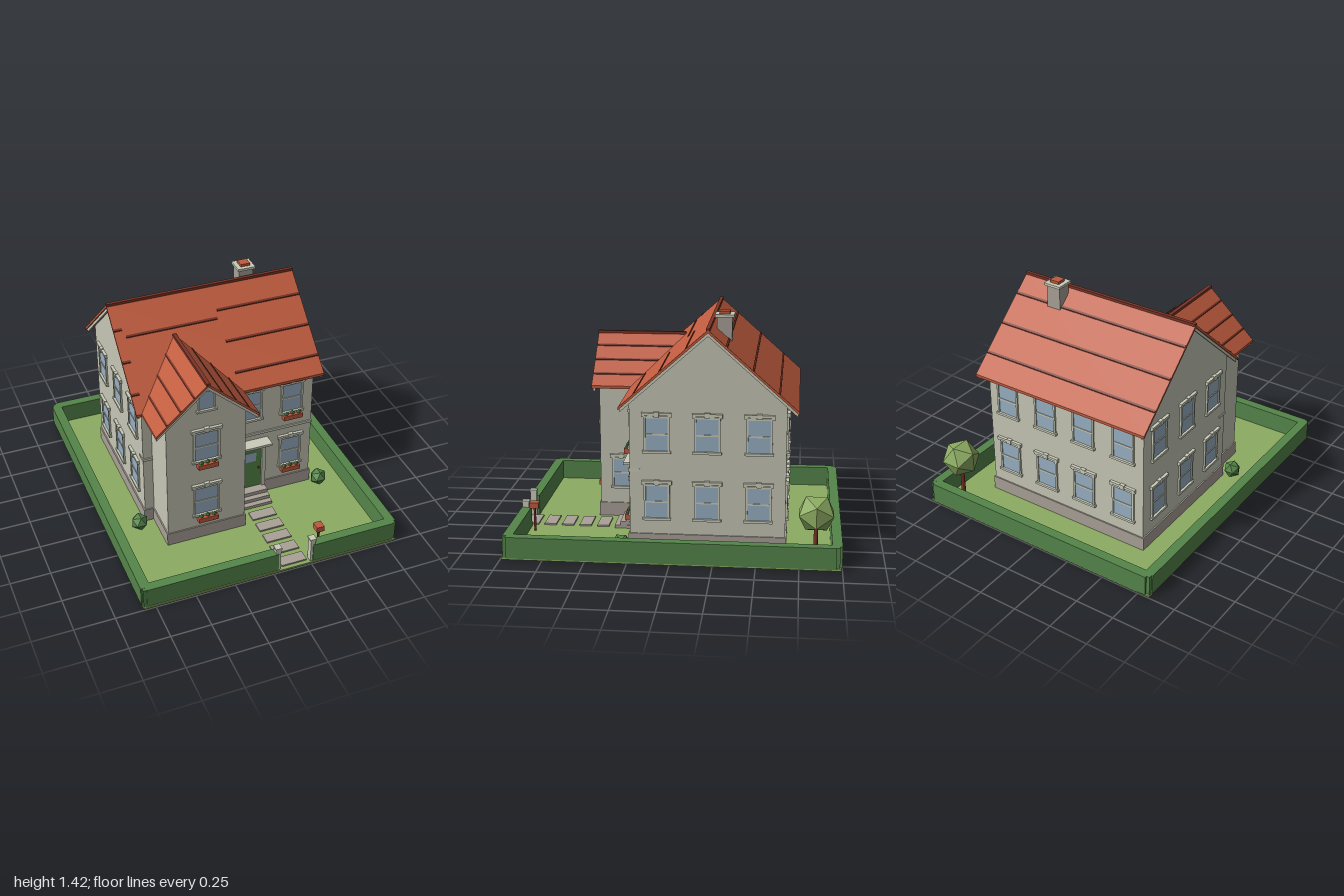
import * as THREE from 'three';

const mat = (name, color) => {
  const m = new THREE.MeshStandardMaterial({ color });
  m.name = name;
  return m;
};

export function createModel() {
  const wall = mat('wall', 0xc6c7b5), trim = mat('trim', 0xcbcdba), glass = mat('glass', 0x98b0c4);
  const roof = mat('roofTile', 0xbf5b3e), dark = mat('darkTile', 0x7a3426), stone = mat('stone', 0xaaa198);
  const lawn = mat('lawn', 0x8cab62), hedge = mat('hedge', 0x55854a), doorGreen = mat('doorGreen', 0x568647);
  const model = new THREE.Group();
  model.name = 'house';

  const add = (parent, name, geo, m) => {
    const mesh = new THREE.Mesh(geo, m);
    mesh.name = name;
    parent.add(mesh);
    return mesh;
  };
  // box given by its min and max on each axis
  const box = (name, m, x0, x1, y0, y1, z0, z1, parent = model) => {
    const mesh = add(parent, name, new THREE.BoxGeometry(x1 - x0, y1 - y0, z1 - z0), m);
    mesh.position.set((x0 + x1) / 2, (y0 + y1) / 2, (z0 + z1) / 2);
    return mesh;
  };
  const ball = (name, m, r, x, y, z, parent = model) => {
    const mesh = add(parent, name, new THREE.IcosahedronGeometry(r, 0), m);
    m.flatShading = true;
    mesh.position.set(x, y, z);
    mesh.rotation.y = Math.PI / 2;
    return mesh;
  };
  const polygon = (pts) => new THREE.Shape(pts.map(([a, b]) => new THREE.Vector2(a, b)));
  // plan outline (x, z) lifted onto a sloping plane, with thickness below
  const slab = (name, m, pts, height, thick, lift = 0) => {
    const geo = new THREE.ExtrudeGeometry(polygon(pts), { depth: thick, bevelEnabled: false });
    geo.rotateX(Math.PI / 2);
    const p = geo.attributes.position;
    for (let i = 0; i < p.count; i++) p.setY(i, p.getY(i) + height(p.getX(i), p.getZ(i)) + lift);
    geo.computeVertexNormals();
    return add(model, name, geo, m);
  };
  const rect = (x0, x1, z0, z1) => [[x0, z0], [x1, z0], [x1, z1], [x0, z1]];

  // garden
  box('lawn', lawn, -0.825, 0.825, 0, 0.012, -0.995, 0.995);
  for (const s of [-1, 1]) {
    box('sideHedge', hedge, s * 0.8 - 0.03, s * 0.8 + 0.03, 0.01, 0.14, -0.965, 0.965);
    for (const t of [-1, 1])
      box('hedgeCorner', hedge, s * 0.795 - 0.026, s * 0.795 + 0.026, 0.01, 0.139, t * 0.96 - 0.026, t * 0.96 + 0.026);
    ball('bush', hedge, 0.056, s * 0.618, 0.055, 0.31);
  }
  box('backHedge', hedge, -0.8, 0.8, 0.01, 0.14, -1, -0.94);
  box('frontHedgeRight', hedge, -0.8, 0.035, 0.01, 0.14, 0.93, 0.99);
  box('frontHedgeLeft', hedge, 0.262, 0.8, 0.01, 0.14, 0.93, 0.99);
  for (const x of [0.035, 0.262]) {
    box('gatePost', trim, x - 0.015, x + 0.015, 0.01, 0.172, 0.945, 0.985);
    box('gatePostCap', trim, x - 0.02, x + 0.02, 0.17, 0.182, 0.942, 0.988);
  }
  for (let i = 0; i < 5; i++)
    box('pathSlab', stone, 0.066, 0.23, 0.01, 0.022, 0.445 + i * 0.1125, 0.52 + i * 0.1125);
  box('mailboxPost', dark, 0.334, 0.346, 0.01, 0.17, 0.887, 0.899);
  box('mailbox', roof, 0.315, 0.365, 0.163, 0.2, 0.865, 0.92);
  const trunk = add(model, 'treeTrunk', new THREE.CylinderGeometry(0.012, 0.014, 0.2, 8), dark);
  trunk.position.set(0.685, 0.11, -0.845);
  ball('treeCrown', lawn, 0.119, 0.685, 0.298, -0.845);

  // walls: main block with gables to the sides, wing with a gable to the front
  const mainH = (x, z) => 1.35 - 0.885 * Math.abs(z + 0.203);
  const wingX = -0.2525;
  const wingH = (x) => 1.175 - 0.885 * Math.abs(x - wingX);
  const mainGeo = new THREE.ExtrudeGeometry(polygon([[0.665, 0.05], [0.665, mainH(0, -0.665) - 0.02],
    [0.203, 1.33], [-0.263, mainH(0, 0.263) - 0.02], [-0.263, 0.05]]), { depth: 1.13, bevelEnabled: false });
  mainGeo.translate(0, 0, -0.565).rotateY(Math.PI / 2);
  add(model, 'mainWalls', mainGeo, wall);
  const wingGeo = new THREE.ExtrudeGeometry(polygon([[-0.505, 0.05], [0, 0.05], [0, wingH(0) - 0.02],
    [wingX, 1.155], [-0.505, wingH(-0.505) - 0.02]]), { depth: 0.33, bevelEnabled: false });
  wingGeo.translate(0, 0, 0.2);
  add(model, 'wingWalls', wingGeo, wall);
  box('mainPlinth', stone, -0.573, 0.573, 0.005, 0.1, -0.673, 0.271);
  box('wingPlinth', stone, -0.513, 0.008, 0.005, 0.1, 0.2, 0.538);
  box('bandCourse', trim, -0.569, 0.569, 0.485, 0.503, 0.2, 0.27);

  // main roof
  const ridgeZ = -0.203;
  const halves = [['front', ridgeZ, 0.322], ['back', -0.735, ridgeZ]];
  for (const [side, z0, z1] of halves) {
    slab(side + 'Roof', roof, rect(-0.612, 0.609, z0, z1), mainH, 0.018);
    for (const x of [-0.603, 0.588])
      slab('mainBargeboard', trim, rect(x, x + 0.012, z0 + 0.008 * (side === 'back'), z1 - 0.008 * (side === 'front')), mainH, 0.022, -0.017);
  }
  box('mainRidge', dark, -0.612, 0.609, 1.337, 1.357, ridgeZ - 0.011, ridgeZ + 0.011);
  const course = (x0, x1, z) => slab('tileCourse', dark, rect(x0, x1, z - 0.005, z + 0.005), mainH, 0.012, 0.006);
  for (const z of [-0.62, -0.467, -0.312]) course(-0.61, 0.607, z);
  for (const z of [-0.075, 0.078, 0.23]) {
    course(-0.61, -0.56, z);
    course(0.052, 0.607, z);
  }
  course(-0.545, 0.04, -0.037);

  // wing roof, running back to the valleys
  const valley = (d) => 0.003 + d - 0.012;
  for (const s of [-1, 1]) {
    const e = wingX + s * 0.325;
    slab('wingRoof', roof, [[wingX, valley(0)], [e, valley(0.325)], [e, 0.568], [wingX, 0.568]], wingH, 0.018);
    slab('wingBargeboard', trim, rect(Math.min(wingX, e - s * 0.006), Math.max(wingX, e - s * 0.006), 0.545, 0.56), wingH, 0.024, -0.017);
    for (const d of [0.085, 0.17, 0.255]) {
      const x = wingX + s * d;
      slab('wingTileCourse', dark, rect(x - 0.004, x + 0.004, valley(d), 0.566), wingH, 0.012, 0.006);
    }
  }
  box('wingRidge', dark, wingX - 0.011, wingX + 0.011, 1.162, 1.182, 0, 0.57);

  // chimney
  box('chimney', stone, 0.265, 0.36, 1.15, 1.388, -0.328, -0.238);
  box('chimneyCap', trim, 0.255, 0.37, 1.384, 1.4, -0.34, -0.226);
  box('chimneyPot', roof, 0.282, 0.344, 1.398, 1.417, -0.314, -0.252);

  // window facing +z, then turned to its wall
  const addWindow = (x, y, z, turn = 0, w = 0.145, h = 0.21, flowers = false) => {
    const g = new THREE.Group();
    g.name = 'window';
    g.position.set(x, y, z);
    g.rotation.y = turn;
    model.add(g);
    const a = w / 2, b = h / 2;
    box('pane', glass, -a, a, -b, b, -0.003, 0.004, g);
    for (const s of [-1, 1]) {
      box('jamb', trim, s * (a + 0.004) - 0.006, s * (a + 0.004) + 0.006, -b, b, -0.003, 0.011, g);
      if (h > 0.15) box('lintelEnd', trim, s * (a + 0.012) - 0.01, s * (a + 0.012) + 0.01, b + 0.002, b + 0.014, -0.003, 0.014, g);
    }
    box('sill', trim, -a - 0.018, a + 0.018, -b - 0.008, -b + 0.007, -0.003, 0.018, g);
    box('head', trim, -a - 0.01, a + 0.01, b - 0.005, b + 0.008, -0.003, 0.011, g);
    if (h > 0.15) {
      box('meetingRail', trim, -a, a, -0.005, 0.005, -0.003, 0.008, g);
      box('lintel', trim, -a - 0.022, a + 0.022, b + 0.012, b + 0.028, -0.003, 0.018, g);
      box('keystone', trim, -0.016, 0.016, b + 0.004, b + 0.034, -0.003, 0.021, g);
    }
    if (!flowers) return;
    box('flowerBox', roof, -0.064, 0.064, -b - 0.04, -b - 0.008, 0.005, 0.042, g);
    [-0.042, 0, 0.042].forEach((fx, i) =>
      ball('flowerBoxPlant', i % 2 ? hedge : doorGreen, 0.015, fx, -b - 0.002 + (i % 2) * 0.004, 0.024, g));
  };
  const q = Math.PI / 2;
  for (const y of [0.3, 0.715]) {
    addWindow(wingX, y, 0.53, 0, 0.15, 0.21, true);
    addWindow(0.422, y, 0.263, 0, 0.13, 0.21, true);
    for (const z of [0.1, -0.2, -0.505])
      for (const s of [-1, 1]) addWindow(s * 0.565, y, z, s * q, 0.135);
    for (const x of [-0.425, -0.14, 0.14, 0.425]) addWindow(x, y, -0.665, Math.PI, 0.135);
  }
  addWindow(0.138, 0.715, 0.263);
  addWindow(0, 0.302, 0.395, q, 0.1, 0.19);
  addWindow(wingX, 1.045, 0.53, 0, 0.09, 0.135);

  // front door with hood and steps
  const zf = 0.263;
  box('door', doorGreen, 0.074, 0.221, 0.08, 0.402, zf, zf + 0.012);
  box('doorPane', glass, 0.11, 0.184, 0.285, 0.355, zf + 0.01, zf + 0.016);
  box('doorKnob', dark, 0.196, 0.206, 0.223, 0.235, zf + 0.01, zf + 0.024);
  for (const x of [0.05, 0.221]) box('doorJamb', trim, x, x + 0.025, 0.08, 0.415, zf - 0.003, zf + 0.025);
  box('doorHead', trim, 0.05, 0.246, 0.4, 0.432, zf - 0.003, zf + 0.028);
  box('doorHood', trim, 0.033, 0.265, 0.433, 0.449, zf - 0.003, 0.345);
  box('topStep', stone, 0.052, 0.244, 0.01, 0.08, 0.25, 0.335);
  box('middleStep', stone, 0.05, 0.246, 0.01, 0.055, 0.25, 0.37);
  box('bottomStep', stone, 0.048, 0.248, 0.01, 0.032, 0.25, 0.405);

  return model;
}
